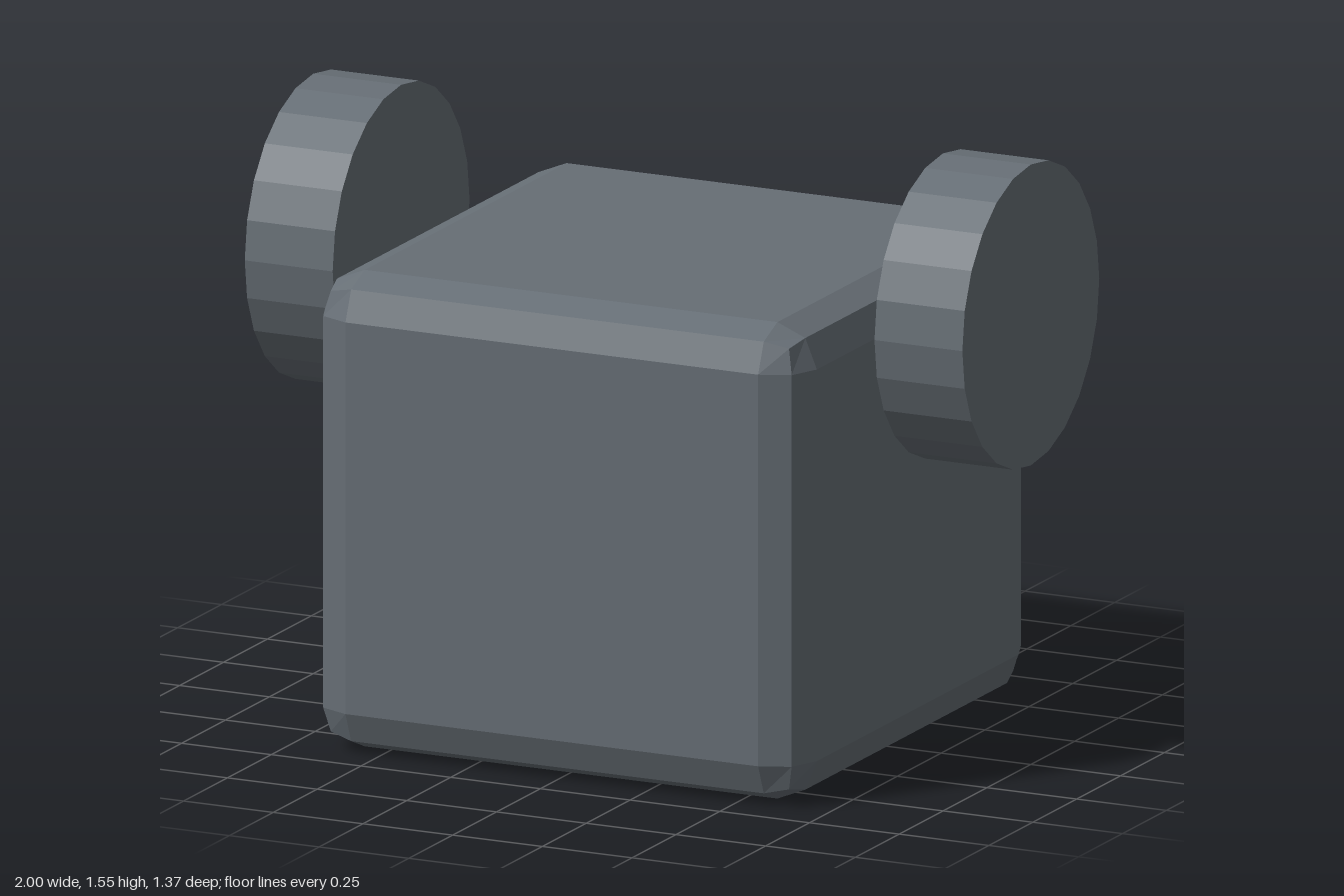
import * as THREE from 'three';
import { RoundedBoxGeometry } from 'three/addons/geometries/RoundedBoxGeometry.js';

export function createModel() {
  const model = new THREE.Group();
  const slate = new THREE.MeshStandardMaterial({ color: 0x666e75, flatShading: true });

  // Block with edges bevelled in two facets
  const width = 1.37, height = 1.235, bevel = 0.11;
  const body = new THREE.Mesh(new RoundedBoxGeometry(width, height, width, 1, bevel), slate);
  body.name = 'body';
  body.position.y = height / 2;
  model.add(body);

  // Pair of free-standing discs beside the upper body
  const inner = 0.755, outer = 1, radius = 0.39;
  const discGeometry = new THREE.CylinderGeometry(radius, radius, outer - inner, 24);
  discGeometry.rotateZ(Math.PI / 2);
  for (const [side, name] of [[1, 'leftDisc'], [-1, 'rightDisc']]) {
    const disc = new THREE.Mesh(discGeometry, slate);
    disc.name = name;
    disc.position.set(side * (inner + outer) / 2, 1.165, 0);
    model.add(disc);
  }

  return model;
}
